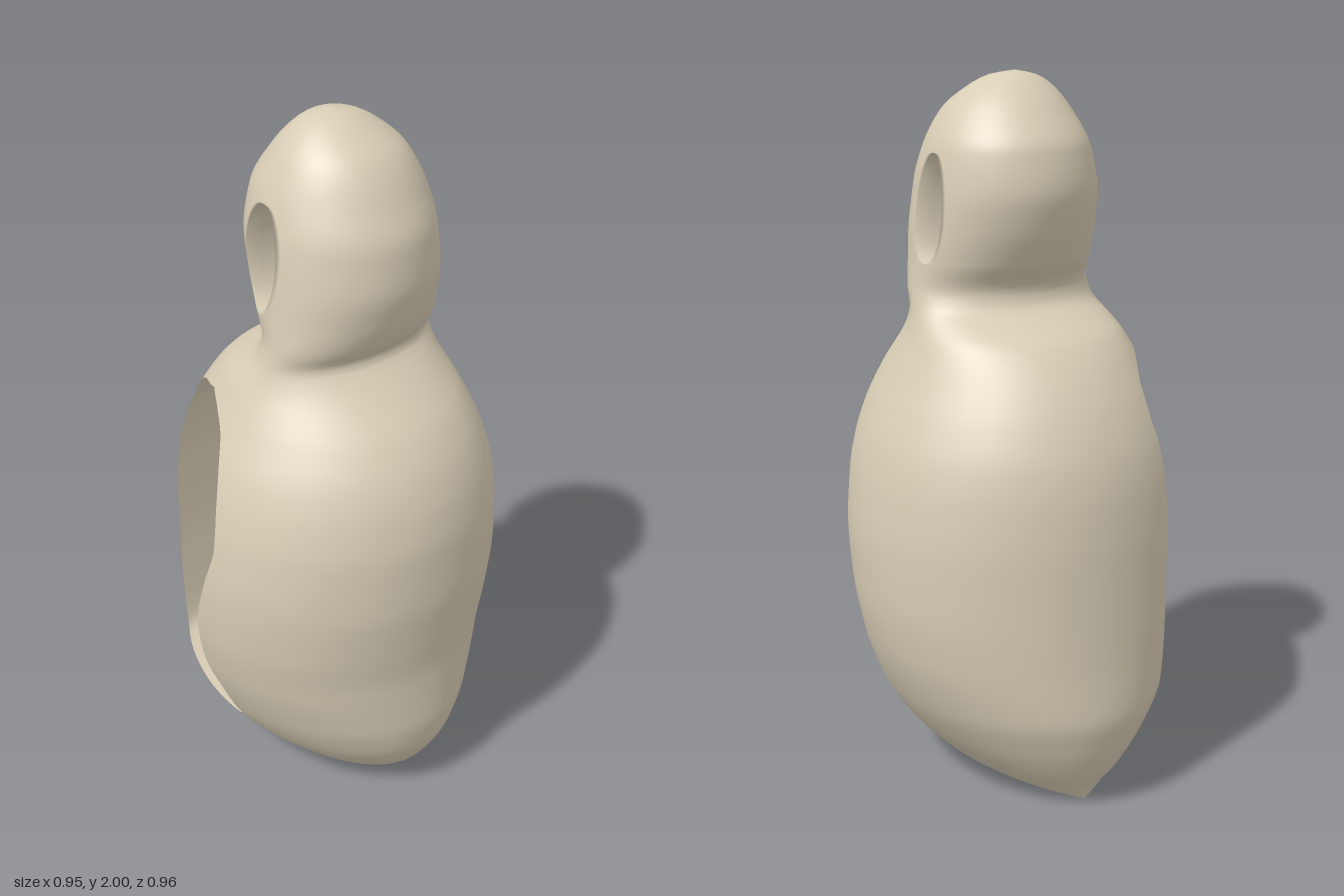
import * as THREE from 'three';
import { mergeVertices } from 'three/addons/utils/BufferGeometryUtils.js';

// Body outline by height: y, left x, right x, back z, front z
const PROFILE = [
  [0, -0.345, 0.23, -0.04, 0.04], [0.02, -0.355, 0.275, -0.115, 0.115], [0.05, -0.37, 0.32, -0.175, 0.175],
  [0.1, -0.405, 0.37, -0.238, 0.238], [0.2, -0.45, 0.422, -0.325, 0.325], [0.3, -0.473, 0.438, -0.387, 0.387],
  [0.45, -0.468, 0.438, -0.445, 0.445], [0.6, -0.466, 0.455, -0.472, 0.473], [0.75, -0.466, 0.472, -0.478, 0.48],
  [0.9, -0.46, 0.474, -0.465, 0.467], [1.0, -0.445, 0.463, -0.445, 0.445], [1.1, -0.412, 0.435, -0.41, 0.41],
  [1.2, -0.36, 0.38, -0.365, 0.36], [1.3, -0.275, 0.285, -0.322, 0.308], [1.34, -0.2, 0.243, -0.307, 0.288],
  [1.38, -0.125, 0.21, -0.296, 0.272], [1.42, -0.112, 0.235, -0.289, 0.265], [1.5, -0.158, 0.268, -0.281, 0.256],
  [1.6, -0.205, 0.289, -0.273, 0.247], [1.7, -0.23, 0.284, -0.262, 0.235], [1.8, -0.217, 0.248, -0.243, 0.209],
  [1.9, -0.153, 0.193, -0.19, 0.162], [1.96, -0.094, 0.116, -0.124, 0.11], [1.99, -0.047, 0.06, -0.063, 0.058],
  [2, 0, 0.001, 0, 0.001],
];
// Window edges (y, x)
const WINDOW_L = [[0.21, -0.085], [0.25, -0.28], [0.32, -0.385], [0.44, -0.403], [0.65, -0.412], [0.915, -0.403],
  [1.06, -0.377], [1.17, -0.322], [1.23, -0.24], [1.255, -0.15]];
const WINDOW_R = [[0.21, -0.085], [0.22, -0.04], [0.25, -0.012], [0.36, -0.02], [0.49, -0.055], [0.6, -0.055],
  [0.77, -0.01], [0.9, 0.025], [1.02, 0.01], [1.17, -0.04], [1.23, -0.1], [1.255, -0.15]];
const SEAM_FRONT = [[0, -0.085], [0.21, -0.085], [1.255, -0.15], [1.5, -0.028], [1.79, -0.028], [2, 0]];
const SEAM_BACK = [[0, 0.02], [1.79, 0.02], [2, 0]];

// Monotone cubic interpolation of column c
function interp(table, y, c = 1) {
  const n = table.length;
  const slope = (i) => (table[i + 1][c] - table[i][c]) / (table[i + 1][0] - table[i][0]);
  const tangent = (i) => {
    if (i === 0) return slope(0);
    if (i === n - 1) return slope(n - 2);
    const a = slope(i - 1), b = slope(i);
    return a * b <= 0 ? 0 : (2 * a * b) / (a + b);
  };
  let i = 0;
  while (i < n - 2 && y > table[i + 1][0]) i++;
  const h = table[i + 1][0] - table[i][0];
  const t = THREE.MathUtils.clamp((y - table[i][0]) / h, 0, 1);
  const u = 1 - t;
  return u * u * (1 + 2 * t) * table[i][c] + t * t * (3 - 2 * t) * table[i + 1][c]
    + h * t * u * (u * tangent(i) - t * tangent(i + 1));
}

// Heights between a and b, denser near both ends
const heights = (a, b, n) => Array.from({ length: n + 1 }, (_, i) => a + (b - a) * (1 - Math.cos((Math.PI * i) / n)) / 2);

function section(y) {
  const [l, r, b, f] = [1, 2, 3, 4].map((c) => interp(PROFILE, y, c));
  return { y, cx: (l + r) / 2, cz: (b + f) / 2, rx: (r - l) / 2, rz: (f - b) / 2 };
}

const pointAt = (s, t) => new THREE.Vector3(s.cx + s.rx * Math.cos(t), s.y, s.cz + s.rz * Math.sin(t));

// Angles of the left and right edges of any opening at this height
function edges(s, back) {
  const y = s.y;
  const seam = interp(back ? SEAM_BACK : SEAM_FRONT, y);
  let pair = [seam, seam];
  if (!back && y > 0.21 && y < 1.255) {
    pair = [interp(WINDOW_L, y), interp(WINDOW_R, y)];
  } else if (y > 1.5 && y < 1.79) {
    const w = (back ? 0.056 : 0.073) * Math.sqrt(Math.max(0, 1 - ((y - 1.645) / 0.145) ** 2));
    pair = [seam - w, seam + w];
  }
  return pair.map((x) => Math.acos(THREE.MathUtils.clamp((x - s.cx) / s.rx, -0.98, 0.98)));
}

// Adds quads over a grid of points to a position list
function addGrid(out, rows, flip = false) {
  const tri = (a, b, c) => (flip ? [a, c, b] : [a, b, c]).forEach((p) => out.push(p.x, p.y, p.z));
  for (let i = 0; i < rows.length - 1; i++) {
    for (let j = 0; j < rows[i].length - 1; j++) {
      const a = rows[i][j], c = rows[i][j + 1], b = rows[i + 1][j], d = rows[i + 1][j + 1];
      tri(a, b, d);
      tri(a, d, c);
    }
  }
}

function smoothGeometry(positions) {
  let g = new THREE.BufferGeometry();
  g.setAttribute('position', new THREE.Float32BufferAttribute(positions, 3));
  g = mergeVertices(g, 1e-5);
  g.computeVertexNormals();
  return g;
}

// Right and left halves of the skin, running round between front and back seams
function addSkin(out, ys) {
  const N = 48;
  const sections = ys.map(section);
  for (const side of [0, 1]) {
    const rows = sections.map((s) => {
      const [fl, fr] = edges(s, false), [bl, br] = edges(s, true);
      const [t0, t1] = side ? [fl, 2 * Math.PI - bl] : [-br, fr];
      return Array.from({ length: N + 1 }, (_, j) => pointAt(s, t0 + ((t1 - t0) * j) / N));
    });
    const base = sections[0];
    rows.unshift(Array.from({ length: N + 1 }, () => new THREE.Vector3(base.cx, base.y, base.cz)));
    addGrid(out, rows);
  }
}

// One level of the pocket: left wall, curved back wall, right wall
function pocketRow(y) {
  const wall = 0.05;
  const s = section(y);
  const [left, right] = edges(s, false).map((t) => pointAt(s, t));
  const backZ = (x) => {
    const k = THREE.MathUtils.clamp((x - s.cx) / (s.rx - wall), -1, 1);
    return s.cz - (s.rz - wall) * Math.sqrt(1 - k * k);
  };
  const side = (p) => Array.from({ length: 12 }, (_, j) =>
    new THREE.Vector3(p.x, y, THREE.MathUtils.lerp(p.z, backZ(p.x), j / 12)));
  const back = Array.from({ length: 21 }, (_, j) => {
    const x = THREE.MathUtils.lerp(left.x, right.x, (1 - Math.cos((Math.PI * j) / 20)) / 2);
    return new THREE.Vector3(x, y, backZ(x));
  });
  return [...side(left), ...back, ...side(right).reverse()];
}

export function createModel() {
  const group = new THREE.Group();
  const clay = new THREE.MeshStandardMaterial({ color: 0xd8cdb5 });
  clay.name = 'warm clay';
  const add = (positions, name) => {
    const mesh = new THREE.Mesh(smoothGeometry(positions), clay);
    mesh.name = name;
    group.add(mesh);
  };

  const windowYs = heights(0.21, 1.255, 60);
  const holeYs = heights(1.5, 1.79, 24);

  // Outer body and head, with the eyelet tunnel through the head
  const outer = [];
  addSkin(outer, [...heights(0, 0.21, 18), ...windowYs.slice(1), ...heights(1.255, 1.5, 24).slice(1),
    ...holeYs.slice(1), ...heights(1.79, 2, 20).slice(1)]);
  for (const side of [0, 1]) {
    const rows = holeYs.map((y) => {
      const s = section(y);
      const front = pointAt(s, edges(s, false)[side]);
      const back = pointAt(s, -edges(s, true)[side]);
      return Array.from({ length: 11 }, (_, j) => front.clone().lerp(back, j / 10));
    });
    addGrid(outer, rows, side === 0);
  }
  add(outer, 'bodyAndHead');

  // Deep pocket behind the window
  const pocket = [];
  addGrid(pocket, windowYs.map(pocketRow), true);
  add(pocket, 'pocket');

  return group;
}
